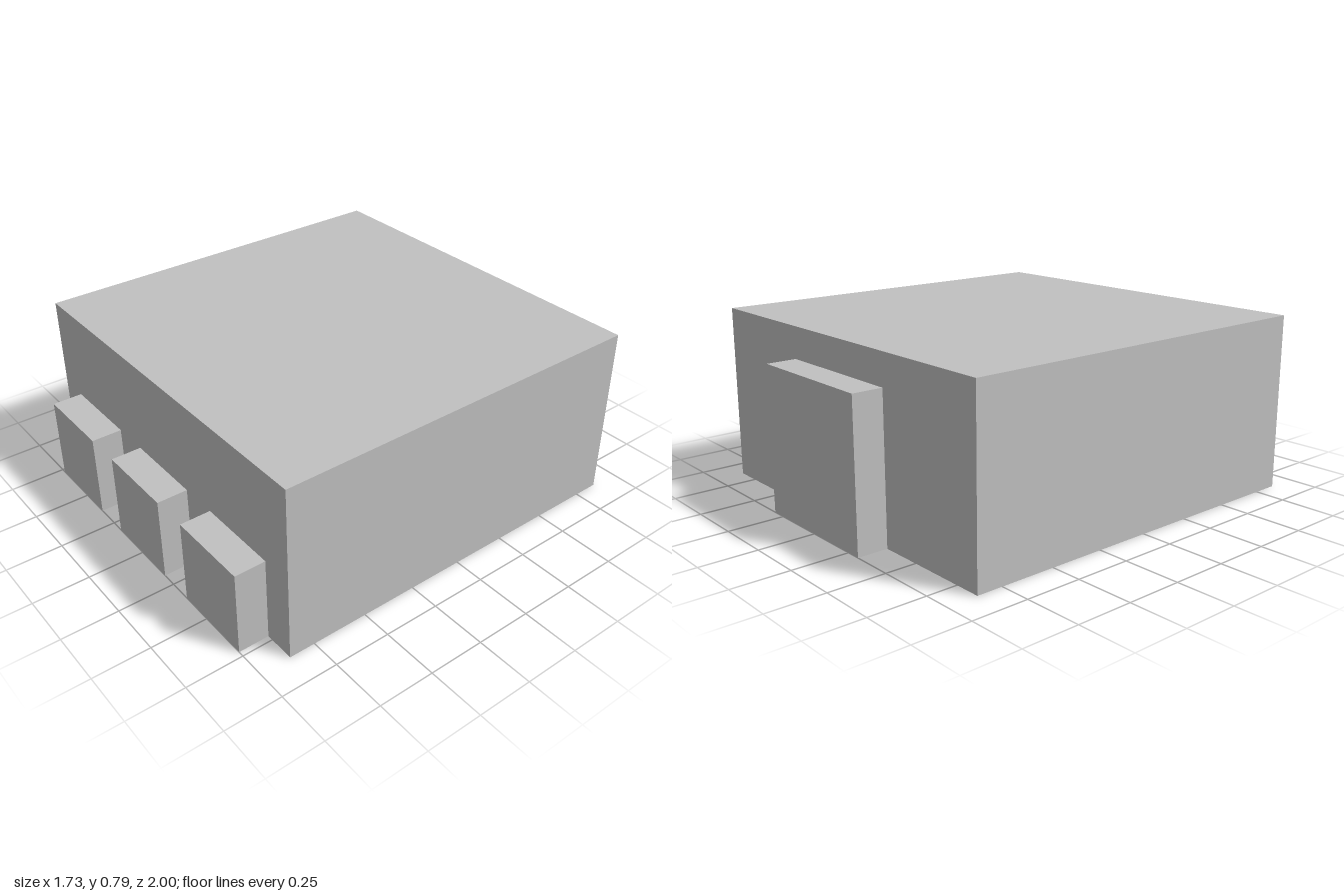
import * as THREE from 'three';

export function createModel() {
  const model = new THREE.Group();
  const grey = new THREE.MeshStandardMaterial({ color: 0xc0c0c0 });
  grey.name = 'light grey';

  // Box standing on the ground, spanning z0 to z1
  function block(name, x, width, height, z0, z1) {
    const mesh = new THREE.Mesh(new THREE.BoxGeometry(width, height, z1 - z0), grey);
    mesh.position.set(x, height / 2, (z0 + z1) / 2);
    mesh.name = name;
    model.add(mesh);
  }

  const half = 0.865;
  block('mainBody', 0, half * 2, 0.785, -half, half);

  // Row of three low blocks along the front
  [['frontBlockRight', -0.543], ['frontBlockMiddle', -0.002], ['frontBlockLeft', 0.539]]
    .forEach(([name, x]) => block(name, x, 0.372, 0.376, half, 1));

  // Single taller block at the back
  block('backBlock', 0, 0.632, 0.645, -1, -half);

  return model;
}
